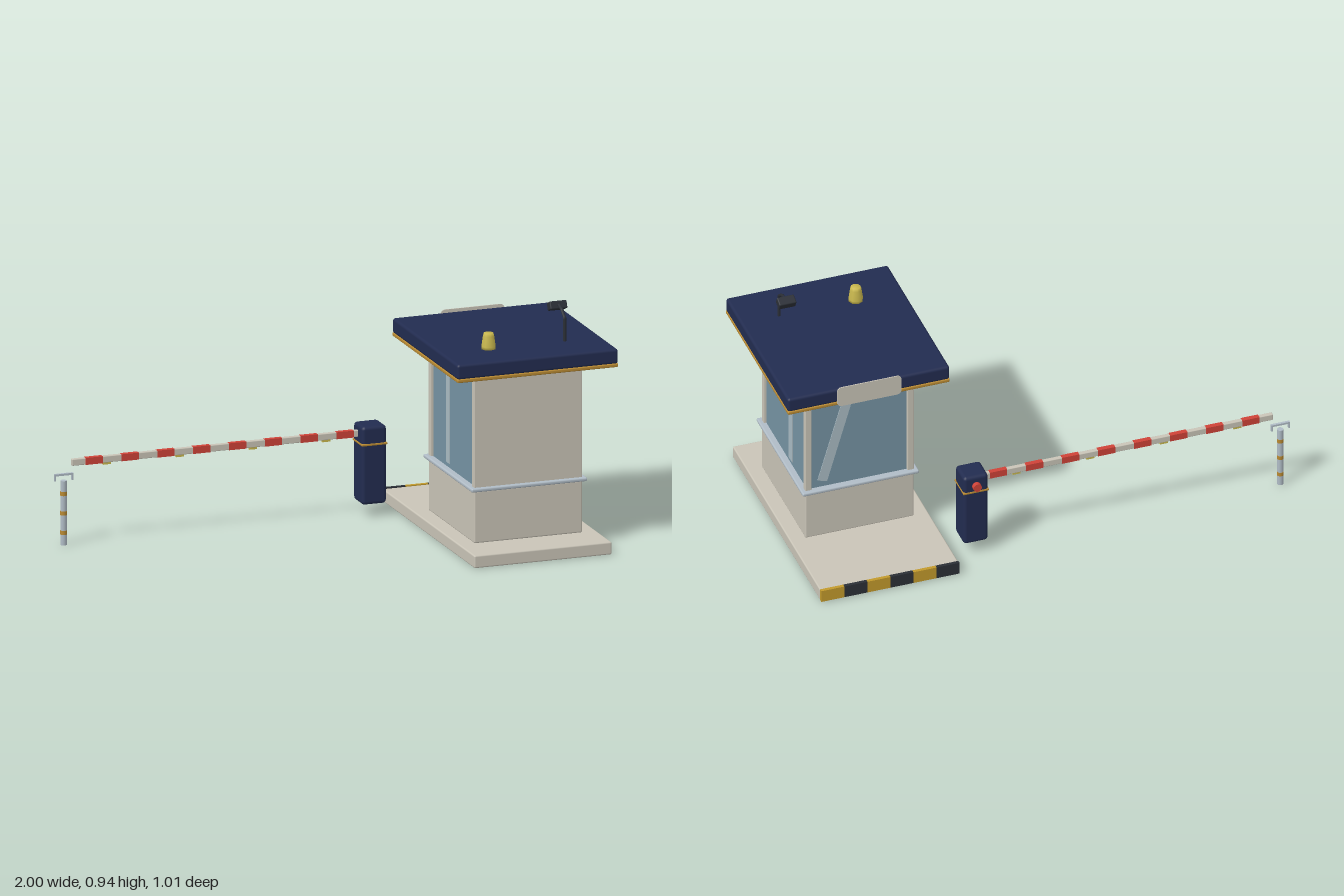
import * as THREE from 'three';
import { RoundedBoxGeometry } from 'three/addons/geometries/RoundedBoxGeometry.js';

const mat = (name, color) => Object.assign(new THREE.MeshStandardMaterial({ color }), { name });

export function createModel() {
  const navy = mat('navy paint', 0x222c50);
  const cream = mat('cream wall', 0xc9c4b7);
  const glass = mat('window glass', 0x7593a3);
  const streak = mat('glass reflection', 0xa9bbc3);
  const steel = mat('pale steel', 0xb0bcc6);
  const gold = mat('gold trim', 0xb98a32);
  const yellow = mat('hazard yellow', 0xc29a2c);
  const black = mat('black', 0x2b2f36);
  const red = mat('signal red', 0xcf4238);
  const amber = mat('beacon amber', 0xc9b84e);

  const model = new THREE.Group();
  model.name = 'checkpointBooth';
  const group = (name) => {
    const g = new THREE.Group();
    g.name = name;
    model.add(g);
    return g;
  };
  const add = (parent, name, geometry, material, x = 0, y = 0, z = 0) => {
    const mesh = new THREE.Mesh(geometry, material);
    mesh.name = name;
    mesh.position.set(x, y, z);
    parent.add(mesh);
    return mesh;
  };
  // Box given by its min and max on each axis; r rounds the edges
  const box = (parent, name, material, [x0, x1], [y0, y1], [z0, z1], r = 0) => {
    const s = [x1 - x0, y1 - y0, z1 - z0];
    const geo = r ? new RoundedBoxGeometry(...s, 2, r) : new THREE.BoxGeometry(...s);
    return add(parent, name, geo, material, (x0 + x1) / 2, (y0 + y1) / 2, (z0 + z1) / 2);
  };

  // Kerb island with hazard blocks along its back edge
  const island = group('island');
  box(island, 'slab', cream, [0.39, 0.95], [0, 0.05], [-0.495, 0.507], 0.006);
  const block = 0.56 / 6;
  for (let i = 0; i < 6; i++) {
    const x = 0.39 + i * block;
    box(island, 'hazardBlock', i % 2 ? yellow : black, [x, x + block], [0.003, 0.053], [-0.507, -0.493]);
  }

  // Booth: lower wall, sill, solid front, back corner posts and three windows
  const booth = group('booth');
  box(booth, 'lowerWall', cream, [0.45, 0.89], [0.05, 0.257], [-0.155, 0.345], 0.006);
  box(booth, 'sill', steel, [0.434, 0.906], [0.256, 0.271], [-0.171, 0.361], 0.006);
  box(booth, 'frontWall', cream, [0.45, 0.89], [0.268, 0.728], [0.319, 0.345], 0.003);
  for (const x of [0.45, 0.864])
    box(booth, 'cornerPost', cream, [x, x + 0.026], [0.268, 0.728], [-0.155, -0.129], 0.003);
  for (const side of [-1, 1]) {
    const x = 0.67 + side * 0.205;
    box(booth, 'sideWindow', glass, [x - 0.005, x + 0.005], [0.27, 0.712], [-0.13, 0.32]);
    const sx = x + side * 0.006;
    box(booth, 'sideReflection', streak, [sx - 0.002, sx + 0.002], [0.288, 0.702], [0.016, 0.056]);
  }
  box(booth, 'backWindow', glass, [0.475, 0.865], [0.27, 0.712], [-0.145, -0.135]);
  const slant = box(booth, 'backReflection', streak, [0.742, 0.782], [0.29, 0.7], [-0.148, -0.144]);
  slant.rotation.z = 0.28;
  for (const z of [-0.14])
    box(booth, 'windowHead', cream, [0.47, 0.87], [0.71, 0.728], [z - 0.005, z + 0.005]);
  for (const x of [0.465, 0.875])
    box(booth, 'windowHead', cream, [x - 0.005, x + 0.005], [0.71, 0.728], [-0.14, 0.33]);

  // Roof with gold soffit and a blank rounded sign plate
  const roof = group('roof');
  box(roof, 'soffit', gold, [0.342, 0.998], [0.724, 0.739], [-0.262, 0.452], 0.005);
  box(roof, 'roofSlab', navy, [0.342, 0.998], [0.736, 0.796], [-0.261, 0.451], 0.011);
  const w = 0.13, h = 0.043, r = 0.018;
  const plate = new THREE.Shape();
  plate.absarc(w - r, h - r, r, 0, Math.PI / 2);
  plate.absarc(-w + r, h - r, r, Math.PI / 2, Math.PI);
  plate.absarc(-w + r, -h + r, r, Math.PI, Math.PI * 1.5);
  plate.absarc(w - r, -h + r, r, Math.PI * 1.5, Math.PI * 2);
  const plateGeo = new THREE.ExtrudeGeometry(plate, { depth: 0.004, bevelEnabled: false, curveSegments: 5 });
  add(roof, 'signPlate', plateGeo, cream, 0.67, 0.763, -0.266);

  // Beacon
  const beaconProfile = [[0, 0], [0.029, 0], [0.029, 0.012], [0.023, 0.052], [0.019, 0.064], [0, 0.064]];
  const beaconGeo = new THREE.LatheGeometry(beaconProfile.map((p) => new THREE.Vector2(...p)), 8);
  add(roof, 'beacon', beaconGeo, amber, 0.535, 0.795, 0.272);

  // Floodlight on a bent mast
  const lamp = group('floodlight');
  const mast = new THREE.CurvePath();
  const bends = [[0.79, 0.274], [0.888, 0.274], [0.912, 0.243], [0.923, 0.212]]
    .map(([y, z]) => new THREE.Vector3(0.845, y, z));
  for (let i = 0; i < 3; i++) mast.add(new THREE.LineCurve3(bends[i], bends[i + 1]));
  add(lamp, 'mast', new THREE.TubeGeometry(mast, 24, 0.0065, 8), black);
  const head = box(lamp, 'lampHead', black, [0.81, 0.88], [0.899, 0.931], [0.172, 0.21], 0.005);
  head.rotation.x = -0.42;

  // Barrier cabinet
  const cabinet = group('barrierCabinet');
  box(cabinet, 'cabinetBody', navy, [0.235, 0.335], [0.05, 0.36], [-0.4, -0.3], 0.014);
  box(cabinet, 'cabinetBand', gold, [0.233, 0.337], [0.284, 0.293], [-0.402, -0.298], 0.003);
  const hub = add(cabinet, 'hub', new THREE.CylinderGeometry(0.017, 0.017, 0.02, 16), red, 0.285, 0.318, -0.408);
  hub.rotation.x = Math.PI / 2;

  // Striped barrier arm with small lamps beneath it
  const arm = group('barrierArm');
  box(arm, 'armBeam', cream, [-0.93, 0.24], [0.311, 0.337], [-0.364, -0.346], 0.003);
  for (let i = 0; i < 8; i++) {
    const x = -0.875 + i * 0.146;
    box(arm, 'redStripe', red, [x, x + 0.07], [0.3102, 0.3378], [-0.3648, -0.3452]);
  }
  for (let i = 0; i < 4; i++) {
    const x = -0.787 + i * 0.298;
    box(arm, 'armLamp', amber, [x - 0.016, x + 0.016], [0.303, 0.312], [-0.361, -0.349]);
  }

  // Rest post with bands and a bracket to catch the arm
  const rest = group('restPost');
  add(rest, 'post', new THREE.CylinderGeometry(0.0125, 0.0125, 0.255, 12), steel, -0.962, 0.1275, -0.355);
  for (const y of [0.05, 0.127, 0.204])
    add(rest, 'postBand', new THREE.CylinderGeometry(0.0135, 0.0135, 0.016, 12), gold, -0.962, y, -0.355);
  box(rest, 'bracketBar', steel, [-1, -0.924], [0.275, 0.283], [-0.36, -0.35]);
  for (const x of [-1, -0.93])
    box(rest, 'bracketProng', steel, [x, x + 0.006], [0.255, 0.28], [-0.36, -0.35]);

  return model;
}
